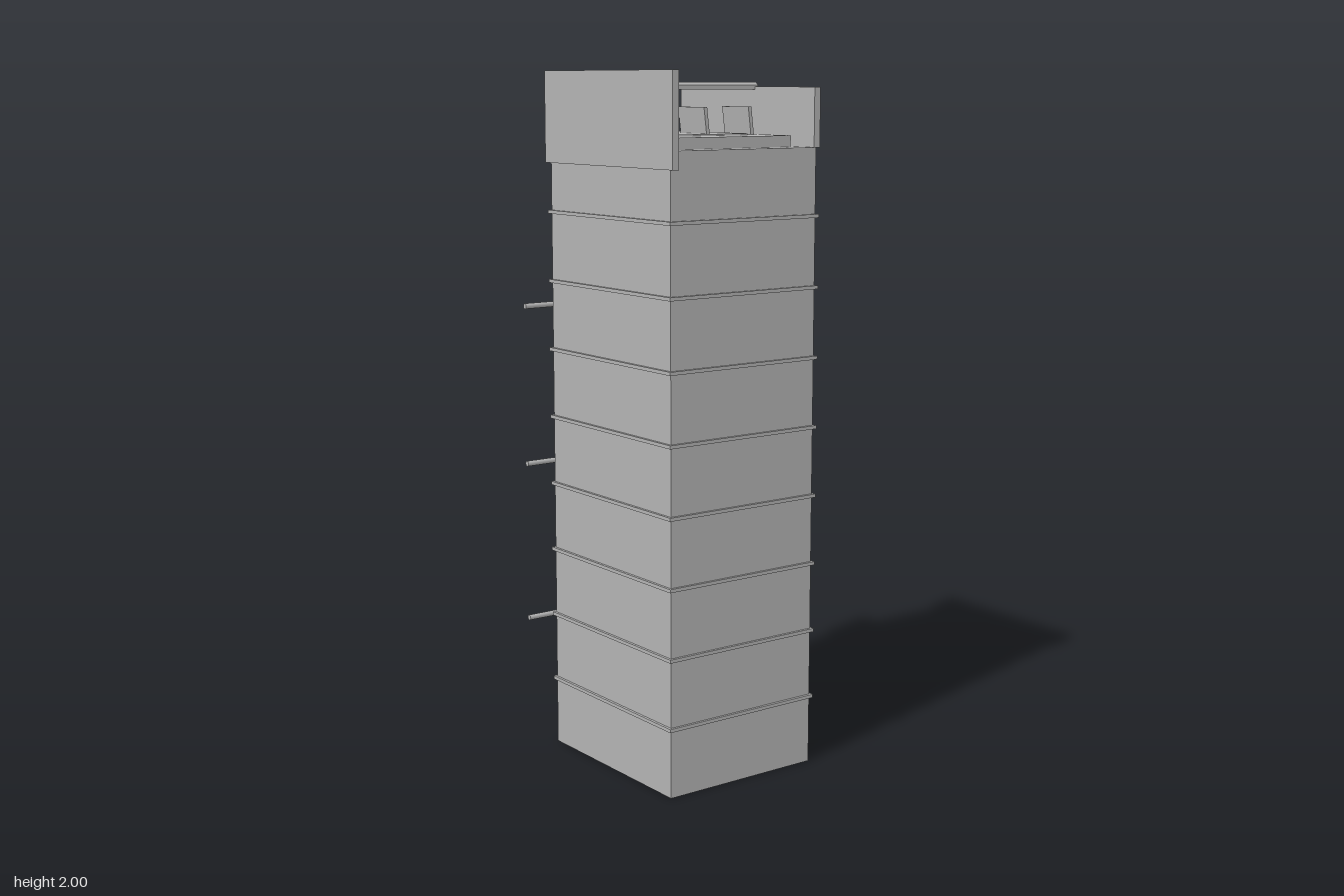
import * as THREE from 'three';

export function createModel() {
  const model = new THREE.Group();
  const grey = new THREE.MeshStandardMaterial({ color: 0xb3b3b3 });
  grey.name = 'concrete grey';

  const add = (name, geometry) => {
    const mesh = new THREE.Mesh(geometry, grey);
    mesh.name = name;
    model.add(mesh);
    return mesh;
  };
  // Box given by its limits on each axis
  const box = (name, x0, x1, y0, y1, z0, z1) => {
    const mesh = add(name, new THREE.BoxGeometry(x1 - x0, y1 - y0, z1 - z0));
    mesh.position.set((x0 + x1) / 2, (y0 + y1) / 2, (z0 + z1) / 2);
    return mesh;
  };

  // Tower shaft with a thin band at every floor
  box('towerBody', -0.25, 0.25, 0, 1.79, -0.279, 0.302);
  for (let i = 1; i <= 8; i++) {
    const y = i * 0.2;
    box('floorBand', -0.258, 0.258, y - 0.005, y + 0.005, -0.287, 0.31);
  }

  // Side walls on the roof, one taller than the other
  box('tallParapet', -0.253, -0.232, 1.74, 2, -0.305, 0.315);
  box('lowParapet', 0.232, 0.253, 1.79, 1.955, -0.305, 0.315);

  // Stepped roof slab
  box('roofSlab', -0.202, 0.202, 1.788, 1.822, -0.228, 0.25);
  box('roofHatch', -0.121, 0.121, 1.82, 1.827, -0.135, 0.158);

  // Beam across the roof, with chamfered upper edges
  const section = new THREE.Shape([
    [-0.053, 1.947], [0.03, 1.947], [0.03, 1.96], [0.02, 1.968], [-0.043, 1.968], [-0.053, 1.96],
  ].map(([x, y]) => new THREE.Vector2(x, y)));
  const beam = add('roofBeam', new THREE.ExtrudeGeometry(section, { depth: 0.474, bevelEnabled: false }));
  beam.rotation.y = Math.PI / 2;
  beam.position.x = -0.232;

  // Leaning fins: bottom x, lean of the top
  for (const [x, lean] of [[-0.162, 0.01], [0.003, -0.01], [0.159, -0.01]]) {
    const geometry = new THREE.BoxGeometry(0.011, 0.08, 0.12);
    const p = geometry.attributes.position;
    for (let i = 0; i < p.count; i++) if (p.getY(i) > 0) p.setX(i, p.getX(i) + lean);
    geometry.computeVertexNormals();
    add('roofFin', geometry).position.set(x, 1.86, 0.073);
  }

  // Horizontal rods behind the tower
  for (const y of [0.393, 0.862, 1.328]) {
    const rod = add('backRod', new THREE.CylinderGeometry(0.008, 0.008, 0.654, 12));
    rod.rotation.z = Math.PI / 2;
    rod.position.set(0, y, -0.31);
  }

  // Thin upright conduit and service door on the back wall
  box('backConduit', 0.15, 0.16, 0.39, 1.52, -0.286, -0.278);
  box('doorFrame', -0.08, 0.08, 0.02, 0.18, -0.29, -0.278);
  box('doorPanel', -0.057, 0.057, 0.04, 0.16, -0.296, -0.289);

  return model;
}
